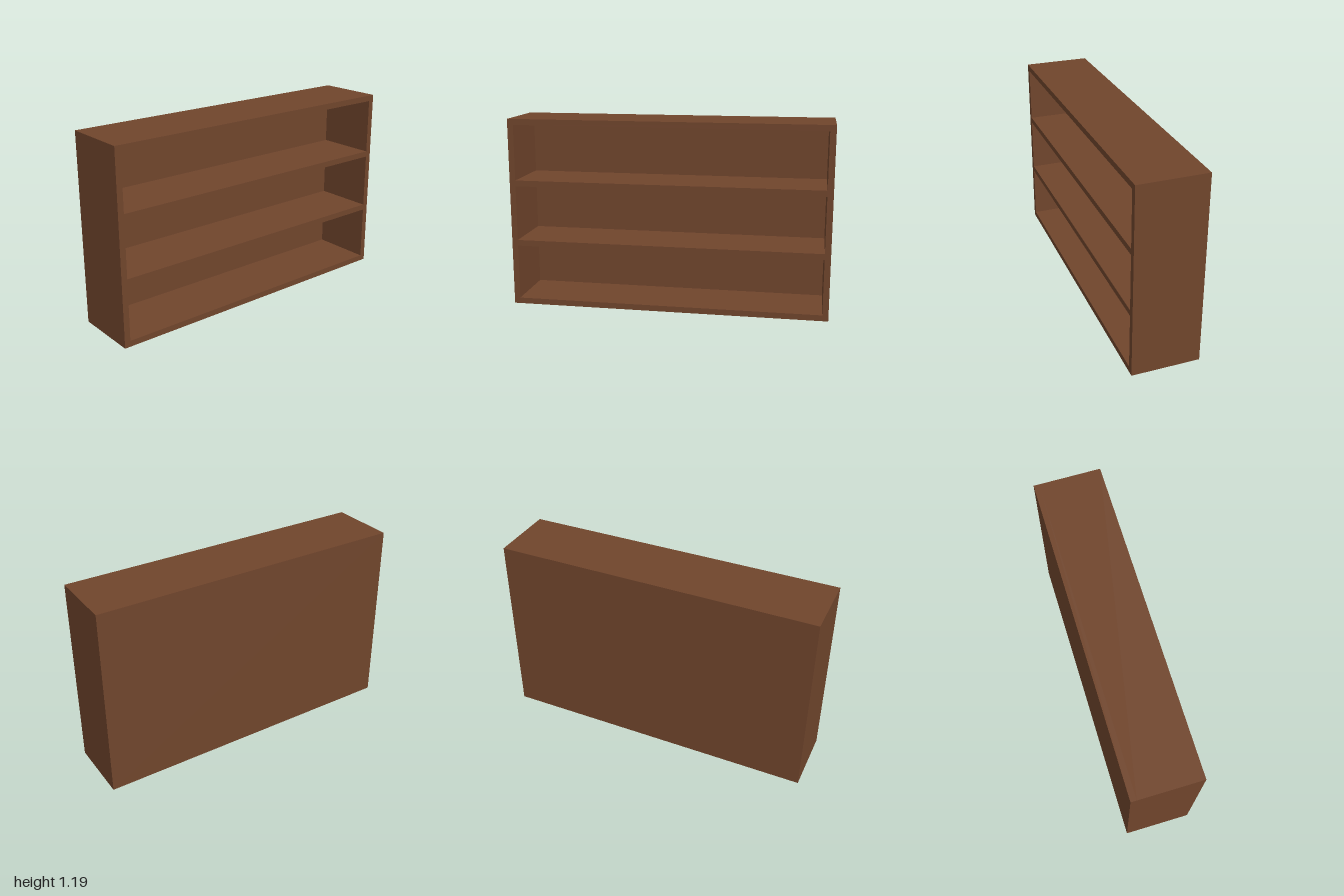
import * as THREE from 'three';

const LENGTH = 2, HEIGHT = 1.194, DEPTH = 0.42;
const BOARD = 0.037, BACK = 0.035, BAYS = 3;

export function createModel() {
  const group = new THREE.Group();
  group.name = 'bookcase';
  const wood = new THREE.MeshStandardMaterial({ color: 0x70452c });

  const rect = (Type, z0, y0, z1, y1) => new Type([
    new THREE.Vector2(z0, y0), new THREE.Vector2(z1, y0),
    new THREE.Vector2(z1, y1), new THREE.Vector2(z0, y1),
  ]);

  // Sides, top, bottom and shelves: one slab with an opening per bay
  const outline = rect(THREE.Shape, -LENGTH / 2, 0, LENGTH / 2, HEIGHT);
  const bay = (HEIGHT - BOARD * (BAYS + 1)) / BAYS;
  const inner = LENGTH / 2 - BOARD;
  for (let i = 0; i < BAYS; i++) {
    const y = BOARD + i * (bay + BOARD);
    outline.holes.push(rect(THREE.Path, -inner, y, inner, y + bay));
  }
  const frameGeo = new THREE.ExtrudeGeometry(outline, { depth: DEPTH - BACK, bevelEnabled: false });
  frameGeo.rotateY(Math.PI / 2); // openings face +x
  const frame = new THREE.Mesh(frameGeo, wood);
  frame.name = 'frameAndShelves';
  frame.position.x = -DEPTH / 2 + BACK;
  group.add(frame);

  // Solid panel closing the -x side
  const back = new THREE.Mesh(new THREE.BoxGeometry(BACK, HEIGHT, LENGTH), wood);
  back.name = 'backPanel';
  back.position.set(-DEPTH / 2 + BACK / 2, HEIGHT / 2, 0);
  group.add(back);

  return group;
}
